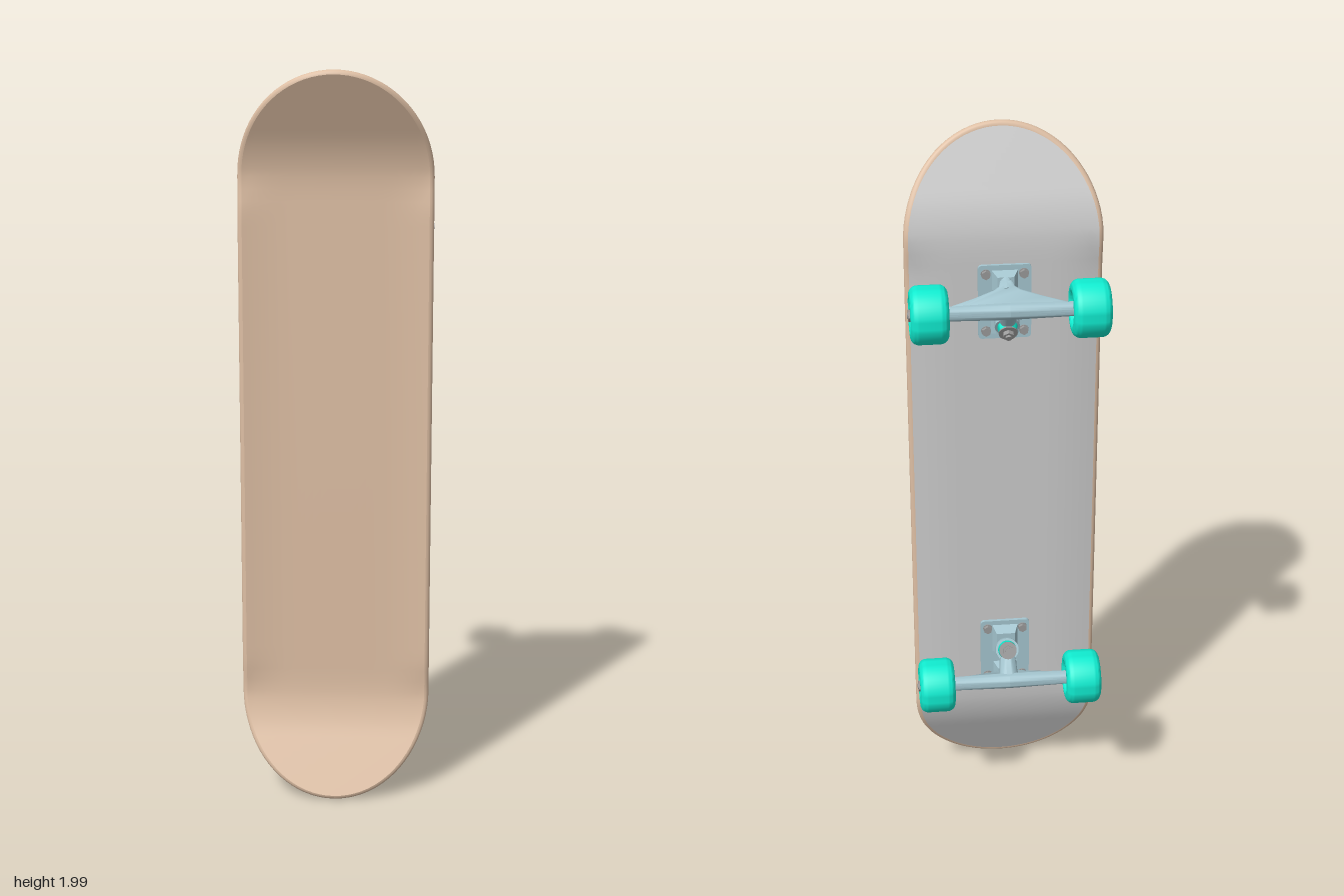
import * as THREE from 'three';
import { toCreasedNormals } from 'three/addons/utils/BufferGeometryUtils.js';

const mat = (color, side = THREE.FrontSide) => new THREE.MeshStandardMaterial({ color, side });
const WOOD = mat(0xdebfa4), GREY = mat(0xcccccc), BLUE = mat(0xa5c6d0), TEAL = mat(0x10ecd0), STEEL = mat(0x999999);
const V = (x, y, z) => new THREE.Vector3(x, y, z);

function add(parent, name, geometry, material, x = 0, y = 0, z = 0) {
  const mesh = new THREE.Mesh(geometry, material);
  mesh.name = name;
  mesh.position.set(x, y, z);
  parent.add(mesh);
  return mesh;
}

// Cylinder from p to q
function rod(parent, name, material, p, q, r1, r2 = r1, sides = 24) {
  const d = q.clone().sub(p);
  const geo = toCreasedNormals(new THREE.CylinderGeometry(r2, r1, d.length(), sides), 0.6);
  const mesh = add(parent, name, geo, material);
  mesh.position.copy(p).addScaledVector(d, 0.5);
  mesh.quaternion.setFromUnitVectors(V(0, 1, 0), d.normalize());
  return mesh;
}

// Grid surface; its normal is (i direction) x (j direction)
function surface(ni, nj, point) {
  const pos = [], idx = [];
  for (let j = 0; j <= nj; j++) for (let i = 0; i <= ni; i++) pos.push(...point(i, j));
  for (let j = 0; j < nj; j++) for (let i = 0; i < ni; i++) {
    const a = j * (ni + 1) + i, b = a + 1, d = a + ni + 1, c = d + 1;
    idx.push(a, b, c, a, c, d);
  }
  const g = new THREE.BufferGeometry();
  g.setAttribute('position', new THREE.Float32BufferAttribute(pos, 3));
  g.setIndex(idx);
  g.computeVertexNormals();
  return g;
}

// Deck: concave middle, both ends curved forward, rounded rim
const MID = 1.003, R = 0.012, A = 0.248, B = 0.268, STRAIGHT = 0.717;
function deckZ(x, dy) {
  const t = Math.max(0, Math.abs(dy) - 0.677);
  const kick = t < 0.15 ? 1.5 * t * t : 0.034 + (t - 0.15) * 0.47;
  const fade = 1 - THREE.MathUtils.smoothstep(Math.abs(dy), 0.62, 0.73);
  const side = Math.max(0, (Math.abs(x) - 0.12) / 0.14);
  return 0.043 + kick + 0.013 * side * side * fade;
}
function buildDeck() {
  const deck = new THREE.Group();
  deck.name = 'deck';
  // rows of [height, half width, rim normal x, rim normal y]
  const rows = [], END = 20, BODY = 44;
  const endRow = (phi, s) => {
    const n = new THREE.Vector2(Math.cos(phi) / A, s * Math.sin(phi) / B).normalize();
    rows.push([s * (STRAIGHT + B * Math.sin(phi)), A * Math.cos(phi), n.x, n.y]);
  };
  for (let i = END; i > 0; i--) endRow(i / END * Math.PI / 2, -1);
  for (let i = 0; i <= BODY; i++) rows.push([STRAIGHT * (2 * i / BODY - 1), A, 1, 0]);
  for (let i = 1; i <= END; i++) endRow(i / END * Math.PI / 2, 1);
  const last = rows.length - 1, COLS = 24;
  const face = (i, j, dz) => {
    const [dy, w] = rows[j], x = w * (2 * i / COLS - 1);
    return [x, MID + dy, deckZ(x, dy) + dz];
  };
  add(deck, 'deckFront', surface(COLS, last, (i, j) => face(i, j, R)), WOOD);
  add(deck, 'deckBack', surface(last, COLS, (j, i) => face(i, j, -R)), GREY);
  // rim follows the right side up and the left side down
  const rim = [...rows.map(r => [...r, 1]), ...rows.slice(0, -1).reverse().map(r => [...r, -1])];
  add(deck, 'deckRim', surface(rim.length - 1, 8, (i, j) => {
    const [dy, w, nx, ny, s] = rim[i], a = (j / 8 - 0.5) * Math.PI;
    const o = R * Math.cos(a);
    return [s * (w + nx * o), MID + dy + ny * o, deckZ(w, dy) + R * Math.sin(a)];
  }), WOOD);
  return deck;
}

// Four-sided tapered block rising from the plate towards -z
function block(parent, name, y, w, h, z0, z1, taper) {
  const g = new THREE.CylinderGeometry(taper * Math.SQRT1_2, Math.SQRT1_2, 1, 4).rotateY(Math.PI / 4).rotateX(-Math.PI / 2);
  g.scale(w, h, z0 - z1);
  return add(parent, name, toCreasedNormals(g, 0.3), BLUE, 0, y, (z0 + z1) / 2);
}

// Wheel centred on its own origin, axis along x
function buildWheel() {
  const wheel = new THREE.Group();
  wheel.name = 'wheel';
  const H = 0.0495, C = 0.022, pts = [[0.04, -0.03], [0.044, -H + 0.003], [0.048, -H]];
  for (const s of [-1, 1]) for (let i = 0; i <= 6; i++) {
    const a = (s < 0 ? i - 6 : i) / 6 * Math.PI / 2;
    pts.push([0.076 - C + C * Math.cos(a), s * (H - C) + C * Math.sin(a)]);
  }
  pts.push([0.048, H], [0.044, H - 0.003], [0.04, 0.03], [0.04, -0.03]);
  const tyre = new THREE.LatheGeometry(pts.map(p => new THREE.Vector2(...p)), 48).rotateZ(-Math.PI / 2);
  add(wheel, 'tyre', toCreasedNormals(tyre, 0.7), TEAL);
  rod(wheel, 'hubCore', STEEL, V(-0.03, 0, 0), V(0.03, 0, 0), 0.041, 0.041, 32);
  for (const s of [-1, 1]) {
    const ring = add(wheel, 'hubRing', new THREE.TorusGeometry(0.038, 0.004, 8, 32).rotateY(Math.PI / 2), BLUE);
    ring.position.x = s * 0.034;
    rod(wheel, 'bearing', BLUE, V(s * 0.03, 0, 0), V(s * 0.041, 0, 0), 0.022);
    for (let i = 0; i < 6; i++) {
      const spoke = new THREE.BoxGeometry(0.008, 0.02, 0.008).translate(s * 0.033, 0.028, 0);
      add(wheel, 'hubSpoke', spoke.rotateX(i * Math.PI / 3), BLUE);
    }
  }
  return wheel;
}

// Truck: +y points to the nearer end of the deck
function buildTruck() {
  const truck = new THREE.Group();
  truck.name = 'truck';
  const AY = 0.024, AZ = -0.096;

  // base plate with pivot cup and kingpin seat
  const plate = new THREE.Shape(), w = 0.07, h = 0.103, c = 0.012;
  plate.moveTo(-w + c, -h).lineTo(w - c, -h).quadraticCurveTo(w, -h, w, -h + c).lineTo(w, h - c)
    .quadraticCurveTo(w, h, w - c, h).lineTo(-w + c, h).quadraticCurveTo(-w, h, -w, h - c)
    .lineTo(-w, -h + c).quadraticCurveTo(-w, -h, -w + c, -h);
  add(truck, 'basePlate', new THREE.ExtrudeGeometry(plate, { depth: 0.011, bevelEnabled: false }), BLUE, 0, 0, 0.022);
  block(truck, 'pivotCup', 0.062, 0.07, 0.055, 0.024, -0.004, 0.62);
  block(truck, 'kingpinSeat', -0.045, 0.075, 0.09, 0.024, -0.006, 0.7);
  for (const x of [-0.05, 0.05]) for (const y of [-0.08, 0.08]) {
    rod(truck, 'mountWasher', STEEL, V(x, y, 0.023), V(x, y, 0.019), 0.013);
    rod(truck, 'mountNut', STEEL, V(x, y, 0.02), V(x, y, 0.009), 0.012, 0.012, 6);
  }

  // kingpin with two bushings, washers and nut
  const k0 = V(0, -0.022, 0.004), k1 = V(0, -0.062, -0.076);
  const k = t => k0.clone().lerp(k1, t);
  rod(truck, 'kingpin', STEEL, k(0), k(1), 0.008);
  rod(truck, 'lowerBushing', TEAL, k(0.05), k(0.4), 0.03, 0.028);
  rod(truck, 'hangerRing', BLUE, k(0.36), k(0.54), 0.033);
  rod(truck, 'upperBushing', TEAL, k(0.5), k(0.78), 0.027, 0.022);
  rod(truck, 'kingpinWasher', STEEL, k(0.76), k(0.8), 0.025);
  rod(truck, 'kingpinNut', STEEL, k(0.8), k(0.93), 0.015, 0.015, 6);

  // hanger: axle housing, triangular web reaching to the pivot, lug to the ring
  for (const s of [-1, 1]) rod(truck, 'axleHousing', BLUE, V(0, AY, AZ), V(s * 0.165, AY, AZ), 0.022, 0.019);
  const half = [[0.15, -0.012], [0.15, 0.016], [0.09, 0.04], [0.036, 0.066], [0.022, 0.078], [0.016, 0.1]];
  const outline = [...half, ...half.map(([x, y]) => [-x, y]).reverse()];
  const web = new THREE.ExtrudeGeometry(new THREE.Shape(outline.map(p => new THREE.Vector2(...p))),
    { depth: 0.014, bevelThickness: 0.009, bevelSize: 0.009, bevelOffset: -0.009, bevelSegments: 4 });
  web.translate(0, 0, -0.007);
  add(truck, 'hangerWeb', toCreasedNormals(web, 0.7), BLUE, 0, AY, AZ).rotation.x = THREE.MathUtils.degToRad(67);
  rod(truck, 'hangerLug', BLUE, V(0, 0.022, -0.078), V(0, -0.022, -0.046), 0.028, 0.022);
  rod(truck, 'pivot', BLUE, V(0, 0.05, -0.035), V(0, 0.066, 0.003), 0.018, 0.015);

  // axle, wheels and end nuts
  rod(truck, 'axle', STEEL, V(-0.262, AY, AZ), V(0.262, AY, AZ), 0.008);
  for (const s of [-1, 1]) {
    const wheel = buildWheel();
    wheel.position.set(s * 0.2075, AY, AZ);
    truck.add(wheel);
    rod(truck, 'axleNut', STEEL, V(s * 0.245, AY, AZ), V(s * 0.26, AY, AZ), 0.016, 0.016, 6);
  }
  return truck;
}

export function createModel() {
  const model = new THREE.Group();
  model.name = 'skateboard';
  model.add(buildDeck());
  for (const s of [1, -1]) {
    const truck = buildTruck();
    truck.name = s > 0 ? 'upperTruck' : 'lowerTruck';
    truck.position.y = MID + s * 0.548;
    if (s < 0) truck.rotation.z = Math.PI;
    model.add(truck);
  }
  return model;
}
